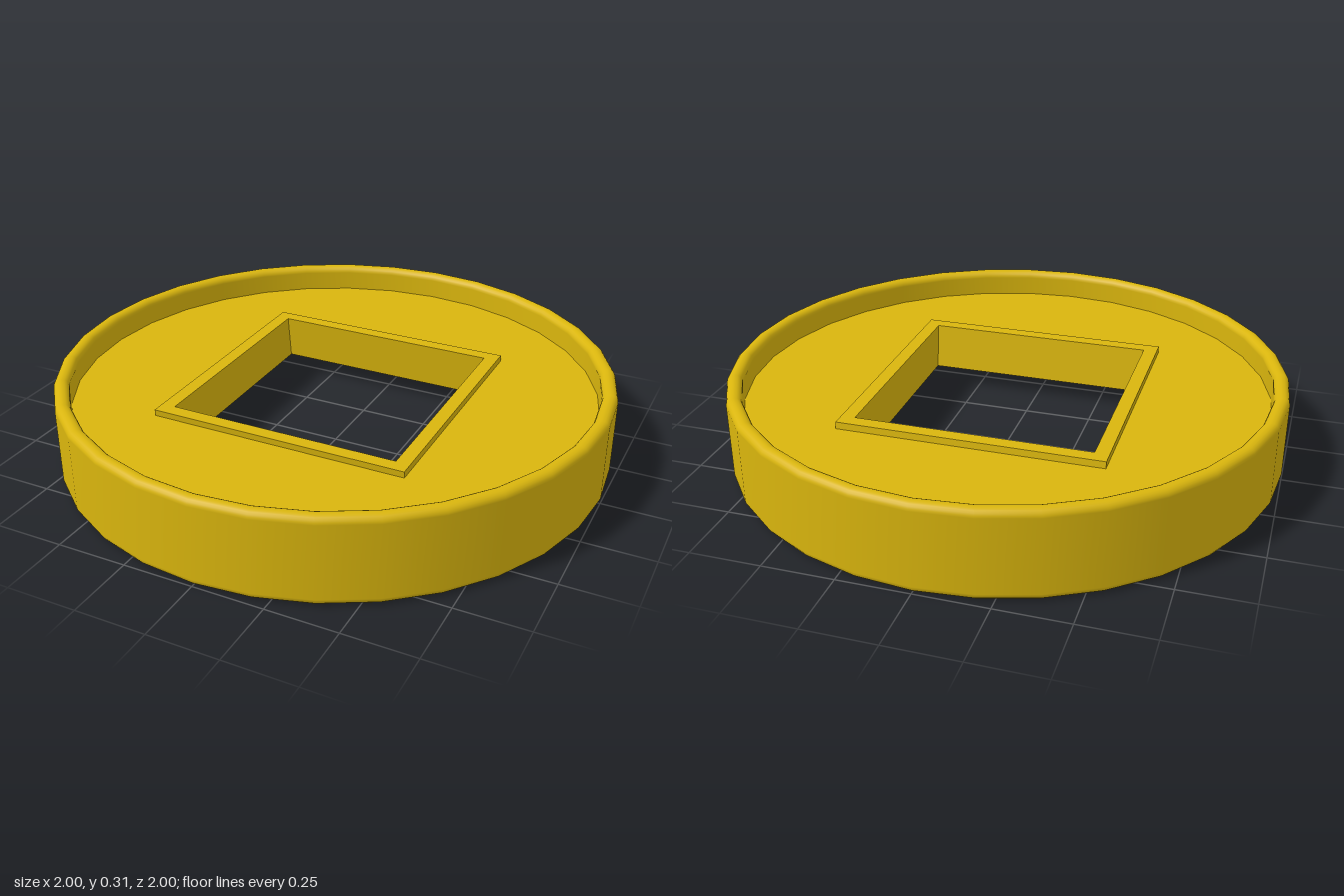
import * as THREE from 'three';

const SIDES = 32;
const HEIGHT = 0.315;
const gold = new THREE.MeshStandardMaterial({ color: 0xd9b50d });

// Counter-clockwise square outline
function square(half, Type) {
  return new Type([[-1, -1], [1, -1], [1, 1], [-1, 1]].map(([x, y]) => new THREE.Vector2(x * half, y * half)));
}

// Plate lying flat between two heights
function plate(shape, y0, y1) {
  const geometry = new THREE.ExtrudeGeometry(shape, { depth: y1 - y0, bevelEnabled: false });
  return geometry.rotateX(-Math.PI / 2).translate(0, y0, 0);
}

function add(group, name, geometry) {
  const mesh = new THREE.Mesh(geometry, gold);
  mesh.name = name;
  group.add(mesh);
}

export function createModel() {
  const coin = new THREE.Group();
  coin.name = 'coin';

  // Outer rim: a thin upright band with rounded edges
  const inner = 0.945, outer = 1, r = 0.025, steps = 5;
  const corners = [
    [outer - r, r, -Math.PI / 2], [outer - r, HEIGHT - r, 0],
    [inner + r, HEIGHT - r, Math.PI / 2], [inner + r, r, Math.PI],
  ];
  const profile = [];
  for (const [cx, cy, start] of corners) {
    for (let i = 0; i <= steps; i++) {
      const a = start + (i / steps) * Math.PI / 2;
      profile.push(new THREE.Vector2(cx + r * Math.cos(a), cy + r * Math.sin(a)));
    }
  }
  profile.push(profile[0].clone());
  add(coin, 'rim', new THREE.LatheGeometry(profile, SIDES));

  // Recessed face disc, open in the middle
  const circle = [];
  for (let i = 0; i < SIDES; i++) {
    const a = (i / SIDES) * Math.PI * 2;
    circle.push(new THREE.Vector2(Math.cos(a) * 0.96, Math.sin(a) * 0.96));
  }
  const disc = new THREE.Shape(circle);
  disc.holes.push(square(0.445, THREE.Path));
  add(coin, 'faceDisc', plate(disc, 0.095, 0.218));

  // Square frame round the hole, leaning slightly toward the back at its foot
  const y0 = 0.073, y1 = 0.242, lean = 0.022;
  const frame = square(0.47, THREE.Shape);
  frame.holes.push(square(0.42, THREE.Path));
  const frameGeometry = plate(frame, y0, y1);
  const p = frameGeometry.attributes.position;
  for (let i = 0; i < p.count; i++) {
    p.setZ(i, p.getZ(i) - lean * (y1 - p.getY(i)) / (y1 - y0));
  }
  frameGeometry.computeVertexNormals();
  add(coin, 'squareFrame', frameGeometry);

  return coin;
}
